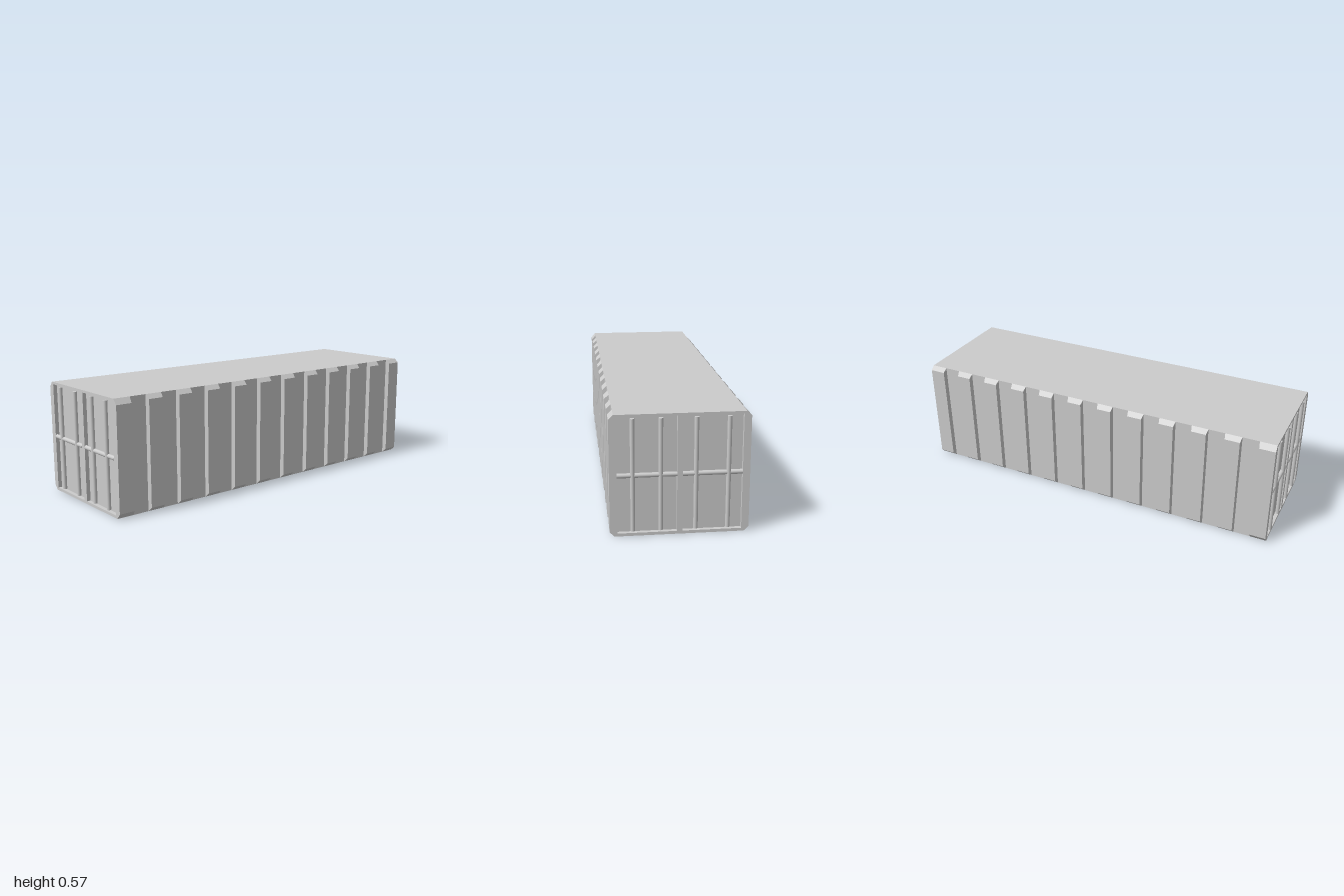
import * as THREE from 'three';

const W = 0.297, OUT = 0.319, H = 0.573; // wall half width, rib half width, height
const END = 0.995, FLOOR = 0.975;        // end frame face and recessed door face

const material = new THREE.MeshStandardMaterial({ color: 0xcccccc });
const flat = new THREE.MeshStandardMaterial({ color: 0xcccccc, flatShading: true });

function add(parent, name, geometry, mat, x = 0, y = 0, z = 0) {
  const mesh = new THREE.Mesh(geometry, mat);
  mesh.name = name;
  mesh.position.set(x, y, z);
  parent.add(mesh);
  return mesh;
}

// Rib with bevelled top, bottom and sides: a box whose outer face is shrunk
function ribGeometry(side, z0, z1, bevel) {
  const g = new THREE.BoxGeometry(1, 1, 1);
  const p = g.attributes.position;
  for (let i = 0; i < p.count; i++) {
    const outer = p.getX(i) * side > 0;
    const top = p.getY(i) > 0, front = p.getZ(i) > 0;
    const cut = outer ? bevel : 0;
    let z = front ? z1 : z0;
    // the faces at the container's ends stay flush with the frame
    if (outer && Math.abs(z) < END) z += front ? -0.005 : 0.005;
    p.setXYZ(i, side * (outer ? OUT : W), top ? H - cut : cut, z);
  }
  g.computeVertexNormals();
  return g;
}

// Flat end frame with two door openings
function frameGeometry() {
  const rect = (target, x0, y0, x1, y1) => {
    target.moveTo(x0, y0);
    target.lineTo(x1, y0);
    target.lineTo(x1, y1);
    target.lineTo(x0, y1);
    target.closePath();
    return target;
  };
  const shape = rect(new THREE.Shape(), -W, 0, W, H);
  shape.holes.push(rect(new THREE.Path(), -0.285, 0.014, -0.013, 0.561));
  shape.holes.push(rect(new THREE.Path(), 0.013, 0.014, 0.285, 0.561));
  return new THREE.ExtrudeGeometry(shape, { depth: END - FLOOR, bevelEnabled: false });
}

// Frame, lock rods and cross bars of one end
function doorEnd(s) {
  const end = new THREE.Group();
  end.name = s > 0 ? 'frontDoors' : 'backDoors';
  add(end, 'doorFrame', frameGeometry(), flat, 0, 0, s > 0 ? FLOOR : -END);
  const rod = new THREE.CylinderGeometry(0.0105, 0.0105, 0.53, 20);
  for (const x of [-0.221, -0.073, 0.087, 0.214]) {
    add(end, 'lockRod', rod, material, x, 0.288, s * 0.9895);
  }
  const bar = new THREE.CylinderGeometry(0.011, 0.011, 0.272, 20);
  bar.rotateZ(Math.PI / 2);
  for (const x of [-0.149, 0.149]) {
    add(end, 'crossBar', bar, material, x, 0.288, s * 0.986);
  }
  return end;
}

export function createModel() {
  const model = new THREE.Group();
  model.name = 'shippingContainer';

  // Main box, its ends forming the recessed door panels
  add(model, 'body', new THREE.BoxGeometry(2 * W, H, 2 * FLOOR), flat, 0, H / 2, 0);
  model.add(doorEnd(1), doorEnd(-1));

  // Side ribs, twelve on each wall
  const ribs = new THREE.Group();
  ribs.name = 'sideRibs';
  const count = 12, half = 0.0435, first = END - half;
  for (let i = 0; i < count; i++) {
    const z = first - (2 * first * i) / (count - 1);
    const z0 = i === count - 1 ? -END : z - half;
    const z1 = i === 0 ? END : z + half;
    for (const side of [-1, 1]) {
      add(ribs, 'rib', ribGeometry(side, z0, z1, i === 0 ? 0.027 : 0.021), flat);
    }
  }
  model.add(ribs);
  return model;
}
